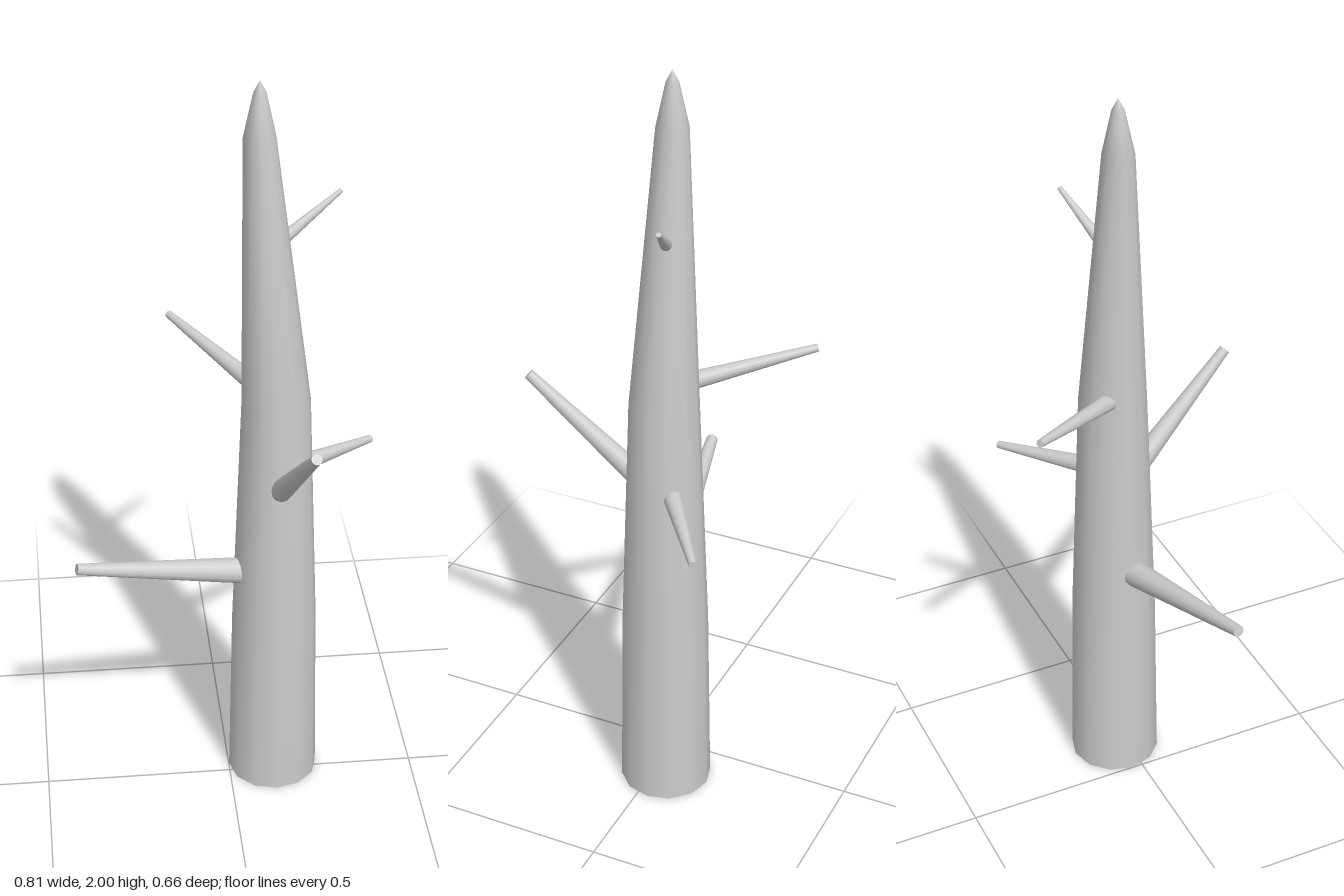
import * as THREE from 'three';

const SIDES = 12;
const material = new THREE.MeshStandardMaterial({ color: 0xcccccc, side: THREE.DoubleSide });

// Trunk rings: height, centre x, centre z, radius
const RINGS = [
  [0, 0.121, -0.029, 0.12],
  [0.5, 0.121, -0.028, 0.112],
  [1.15, 0.12, -0.026, 0.088],
  [1.86, 0.073, -0.027, 0.04],
  [1.97, 0.073, -0.027, 0.016],
  [2, 0.073, -0.027, 0],
];

// Open-bottomed trunk: a tube whose rings are shifted and scaled to the profile
function makeTrunk() {
  const geometry = new THREE.CylinderGeometry(1, 1, 1, SIDES, RINGS.length - 1, true);
  const pos = geometry.attributes.position;
  for (let i = 0; i < pos.count; i++) {
    const level = Math.round((pos.getY(i) + 0.5) * (RINGS.length - 1));
    const [y, cx, cz, r] = RINGS[level];
    pos.setXYZ(i, cx + pos.getX(i) * r, y, cz + pos.getZ(i) * r);
  }
  geometry.computeVertexNormals();
  // Match the normals across the seam
  const normal = geometry.attributes.normal;
  const a = new THREE.Vector3(), b = new THREE.Vector3();
  for (let k = 0; k < RINGS.length; k++) {
    const first = k * (SIDES + 1), last = first + SIDES;
    a.fromBufferAttribute(normal, first).add(b.fromBufferAttribute(normal, last)).normalize();
    normal.setXYZ(first, a.x, a.y, a.z);
    normal.setXYZ(last, a.x, a.y, a.z);
  }
  const mesh = new THREE.Mesh(geometry, material);
  mesh.name = 'trunk';
  return mesh;
}

// Tapered stub from the bark to its cut end, rooted a little inside the trunk
function makeBranch(name, base, tip, baseRadius, tipRadius) {
  const end = new THREE.Vector3(...tip);
  const dir = end.clone().sub(new THREE.Vector3(...base)).normalize();
  const start = new THREE.Vector3(...base).addScaledVector(dir, -0.03);
  const geometry = new THREE.CylinderGeometry(tipRadius, baseRadius, start.distanceTo(end), SIDES);
  const mesh = new THREE.Mesh(geometry, material);
  mesh.position.copy(start).add(end).multiplyScalar(0.5);
  mesh.quaternion.setFromUnitVectors(new THREE.Vector3(0, 1, 0), dir);
  mesh.name = name;
  return mesh;
}

export function createModel() {
  const model = new THREE.Group();
  model.name = 'deadTree';
  model.add(
    makeTrunk(),
    makeBranch('lowRightBranch', [0.02, 0.657, -0.007], [-0.4, 0.742, 0.075], 0.036, 0.015),
    makeBranch('frontBranch', [0.128, 0.94, 0.062], [0.175, 1.178, 0.32], 0.03, 0.014),
    makeBranch('backLeftBranch', [0.21, 0.924, -0.097], [0.4, 0.902, -0.233], 0.024, 0.01),
    makeBranch('backRightBranch', [0.05, 1.192, -0.077], [-0.127, 1.253, -0.329], 0.024, 0.01),
    makeBranch('topBranch', [0.148, 1.598, -0.044], [0.281, 1.688, -0.09], 0.017, 0.006),
  );
  return model;
}
